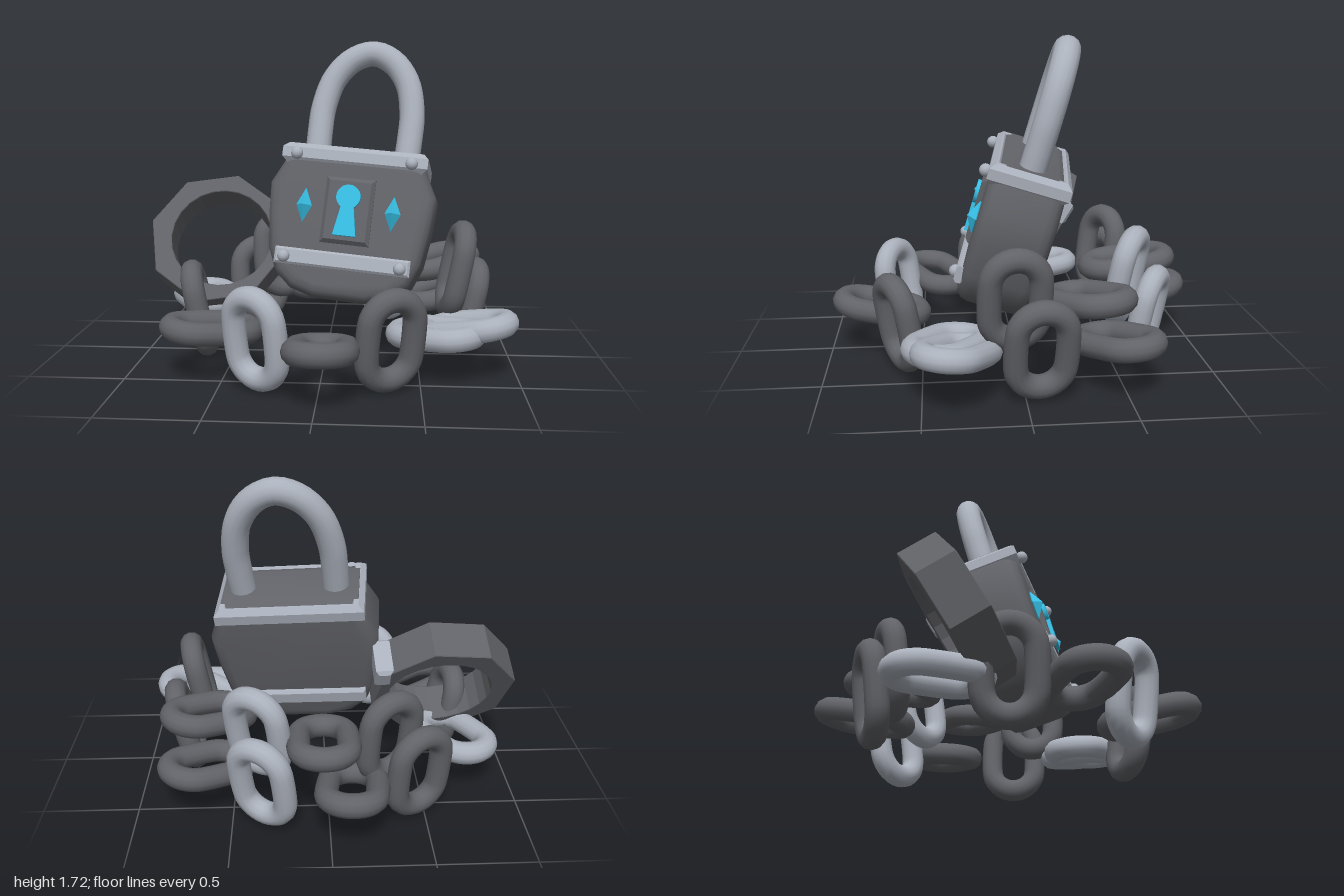
import * as THREE from 'three';
import { toCreasedNormals } from 'three/addons/utils/BufferGeometryUtils.js';

const mat = (name, color) => {
  const m = new THREE.MeshStandardMaterial({ color });
  m.name = name;
  return m;
};
const V = (x, y, z) => new THREE.Vector3(x, y, z);

export function createModel() {
  const dark = mat('dark iron', 0x626368);
  const light = mat('pale steel', 0xabb1bc);
  const cyan = mat('cyan gem', 0x38c2e8);
  const model = new THREE.Group();
  model.name = 'padlockWithChain';

  const add = (parent, name, geo, material, x = 0, y = 0, z = 0) => {
    const m = new THREE.Mesh(geo, material);
    m.name = name;
    m.position.set(x, y, z);
    parent.add(m);
    return m;
  };
  const poly = pts => new THREE.Shape(pts.map(p => new THREE.Vector2(p[0], p[1])));
  const rect = (w, h) => poly([[-w, -h], [w, -h], [w, h], [-w, h]]);
  const bevelled = (shape, depth, bevel, segments = 1) => {
    const g = new THREE.ExtrudeGeometry(shape, {
      depth: depth - 2 * bevel, bevelSize: bevel, bevelThickness: bevel,
      bevelSegments: segments, curveSegments: 12,
    });
    g.translate(0, 0, bevel - depth / 2);
    return g;
  };

  // Padlock, leaning back; its origin is the centre of the top face
  const lock = new THREE.Group();
  lock.name = 'padlock';
  lock.position.set(0.182, 1.12, -0.1);
  lock.rotation.set(-0.29, -0.1, -0.11);
  model.add(lock);

  // Shield shaped body
  const half = [[0.305, -0.085], [0.32, -0.14], [0.375, -0.25], [0.365, -0.4], [0.338, -0.58],
    [0.3, -0.67], [0.235, -0.725], [0.13, -0.755]];
  const outline = [...half.map(([x, y]) => [-x, y]), ...half.slice().reverse()];
  add(lock, 'body', toCreasedNormals(bevelled(poly(outline), 0.39, 0.07, 3), 0.7), dark);

  // Frame around the top edge
  const frame = rect(0.36, 0.18);
  frame.holes.push(rect(0.335, 0.17));
  const frameGeo = bevelled(frame, 0.11, 0.028);
  frameGeo.rotateX(-Math.PI / 2);
  add(lock, 'topFrame', frameGeo, light, 0, -0.072, 0);

  // Lower bands and rivets
  for (const s of [1, -1]) {
    add(lock, 'lowerBand', bevelled(rect(0.345, 0.032), 0.05, 0.012), light, 0, -0.625, s * 0.198);
  }
  const rivet = new THREE.SphereGeometry(0.033, 12, 8);
  for (const x of [-0.305, 0.305]) {
    add(lock, 'topRivet', rivet, light, x, -0.08, 0.222);
    add(lock, 'lowerRivet', rivet, light, x, -0.63, 0.225);
  }

  // Shackle
  const arch = [[0.245, -0.06], [0.25, 0.1], [0.247, 0.23], [0.205, 0.4], [0.115, 0.515]];
  const path = [...arch.map(([x, y]) => V(-x, y, 0)), V(0, 0.56, 0),
    ...arch.slice().reverse().map(([x, y]) => V(x, y, 0))];
  add(lock, 'shackle', new THREE.TubeGeometry(new THREE.CatmullRomCurve3(path), 40, 0.07, 14), light, 0.01);

  // Key plate, keyhole and side gems
  add(lock, 'keyPlate', bevelled(rect(0.11, 0.155), 0.05, 0.02), dark, 0, -0.36, 0.197);
  const disc = new THREE.CylinderGeometry(0.064, 0.064, 0.03, 24);
  disc.rotateX(Math.PI / 2);
  add(lock, 'keyholeTop', disc, cyan, 0, -0.288, 0.226);
  const slot = poly([[-0.06, -0.492], [0.06, -0.492], [0.027, -0.31], [-0.027, -0.31]]);
  add(lock, 'keyholeSlot', bevelled(slot, 0.03, 0.002), cyan, 0, 0, 0.226);
  for (const x of [-0.235, 0.235]) {
    add(lock, 'diamondGem', new THREE.OctahedronGeometry(1), cyan, x, -0.35, 0.2).scale.set(0.042, 0.092, 0.048);
  }

  // Octagonal wrist cuff with a round opening and a hinge block
  const cuff = new THREE.Group();
  cuff.name = 'cuff';
  cuff.position.set(-0.62, 0.585, -0.155);
  cuff.rotation.set(-0.55, 0.05, 0);
  model.add(cuff);
  const ring = poly(Array.from({ length: 8 }, (_, i) => {
    const a = (i + 0.5) * Math.PI / 4 + 0.17;
    return [0.385 * Math.cos(a), 0.385 * Math.sin(a)];
  }));
  ring.holes.push(new THREE.Path().absarc(0.02, 0, 0.285, 0, Math.PI * 2, true));
  add(cuff, 'cuffRing', bevelled(ring, 0.21, 0.004), dark);
  add(cuff, 'hinge', bevelled(rect(0.028, 0.045), 0.22, 0.018), light, 0.33, 0.18, 0);

  // One oval chain link, long along y and flat in xy
  const oval = Array.from({ length: 20 }, (_, i) => {
    const a = (i + 0.5) * Math.PI / 10;
    return V(0.123 * Math.cos(a), 0.123 * Math.sin(a) + Math.sign(Math.sin(a)) * 0.088, 0);
  });
  const linkGeo = new THREE.TubeGeometry(new THREE.CatmullRomCurve3(oval, true), 44, 0.06, 12, true);
  const addLink = (name, material, x, y, z, long, wide) => {
    const up = long.normalize();
    const normal = wide.cross(up).normalize();
    const side = up.clone().cross(normal);
    add(model, name, linkGeo, material, x, y, z)
      .quaternion.setFromRotationMatrix(new THREE.Matrix4().makeBasis(side, up, normal));
  };

  // Lying links: heading of the long axis and its upward pitch
  const lying = (material, x, y, z, heading, pitch) => {
    const c = Math.cos(heading), s = Math.sin(heading);
    addLink('lyingLink', material, x, y, z, V(c, pitch, s), V(-s, 0, c));
  };
  lying(dark, 0.02, 0.255, 0.72, 1.57, 0.2);
  lying(dark, -0.56, 0.26, 0.42, -0.52, -0.12);
  lying(light, -0.7, 0.26, -0.22, 1.04, 0);
  lying(dark, -0.11, 0.27, -0.73, -1.45, 0.2);
  lying(dark, 0.03, 0.48, -0.63, -1.57, 0.14);
  lying(dark, 0.63, 0.25, -0.46, -0.6, 0.15);
  lying(dark, 0.62, 0.47, -0.31, -0.6, 0.15);
  lying(light, 0.58, 0.24, 0.37, 0.58, 0.1);
  lying(light, 0.74, 0.265, 0.33, 0.49, 0.21);

  // Standing links: heading of the width and the lean across it
  const standing = (material, x, y, z, heading, lean) => {
    const c = Math.cos(heading), s = Math.sin(heading);
    addLink('standingLink', material, x, y, z, V(-s * lean, 1, c * lean), V(c, 0, s));
  };
  standing(light, -0.305, 0.275, 0.64, 0.53, 0.14);
  standing(dark, 0.35, 0.275, 0.62, -0.49, 0.17);
  standing(dark, -0.69, 0.275, 0.1, 1.42, 0.2);
  standing(dark, -0.46, 0.275, -0.6, -0.49, -0.13);
  standing(dark, -0.31, 0.45, -0.55, -0.49, -0.13);
  standing(light, 0.34, 0.28, -0.68, 0.53, -0.2);
  standing(light, 0.36, 0.5, -0.56, 0.53, -0.2);
  standing(dark, 0.7, 0.5, 0.05, 1.47, -0.2);
  standing(dark, 0.78, 0.275, -0.07, 1.47, -0.24);
  return model;
}
